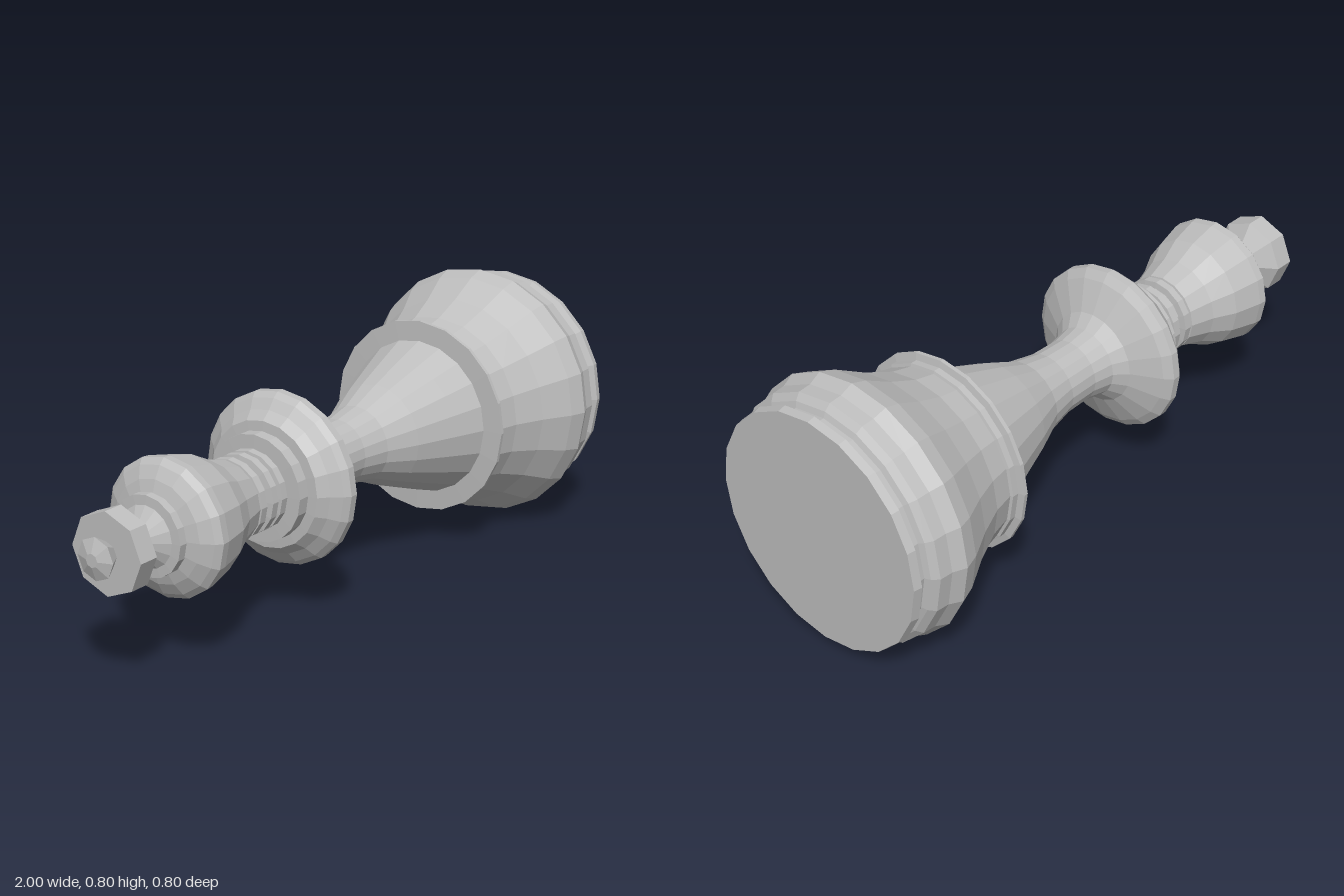
import * as THREE from 'three';

const grey = new THREE.MeshStandardMaterial({ color: 0xbebebe, flatShading: true });
grey.name = 'grey stone';

// Turned part from [x, radius] pairs, listed from the foot (+x) to the tip (-x).
function turned(name, sides, profile) {
  const points = profile.map(([x, r]) => new THREE.Vector2(r, -x));
  const mesh = new THREE.Mesh(new THREE.LatheGeometry(points, sides), grey);
  mesh.name = name;
  return mesh;
}

export function createModel() {
  const piece = new THREE.Group();
  piece.name = 'lyingChessKing';

  // Foot with its closed underside and stepped rim
  piece.add(turned('foot', 20, [
    [1, 0], [1, 0.362], [0.975, 0.367], [0.962, 0.345], [0.945, 0.345],
    [0.938, 0.362], [0.92, 0.38], [0.88, 0.383], [0.84, 0.4], [0.79, 0.383],
    [0.7, 0.332], [0.61, 0.292], [0.535, 0.275],
  ]));

  // Thin collar above the foot
  piece.add(turned('footCollar', 20, [
    [0.545, 0.27], [0.54, 0.285], [0.52, 0.285], [0.515, 0.305], [0.503, 0.305], [0.5, 0.24],
  ]));

  // Tapering stem
  piece.add(turned('stem', 20, [
    [0.52, 0.25], [0.4, 0.207], [0.27, 0.16], [0.17, 0.118], [0.08, 0.1],
    [-0.02, 0.098], [-0.085, 0.11],
  ]));

  // Wide flange with a smaller disc on top
  piece.add(turned('flange', 20, [
    [-0.085, 0.11], [-0.12, 0.145], [-0.165, 0.235], [-0.185, 0.26], [-0.21, 0.26],
    [-0.228, 0.245], [-0.25, 0.215], [-0.278, 0.19], [-0.28, 0.16], [-0.318, 0.16], [-0.32, 0.09],
  ]));

  // Neck core and its narrow rings
  piece.add(turned('neck', 16, [[-0.3, 0.1], [-0.46, 0.1]]));
  for (const x of [-0.335, -0.375, -0.425]) {
    piece.add(turned('neckRing', 16, [
      [x + 0.016, 0.095], [x + 0.012, 0.12], [x - 0.012, 0.12], [x - 0.016, 0.095],
    ]));
  }

  // Crown, flaring out and stepping back in
  piece.add(turned('crown', 16, [
    [-0.44, 0.1], [-0.445, 0.12], [-0.52, 0.143], [-0.59, 0.178], [-0.68, 0.2],
    [-0.705, 0.202], [-0.722, 0.185], [-0.742, 0.15], [-0.757, 0.1], [-0.758, 0.118],
    [-0.783, 0.118], [-0.785, 0.09], [-0.826, 0.03],
  ]));

  // Eight-sided finial and its small tip
  piece.add(turned('finial', 8, [
    [-0.82, 0.03], [-0.88, 0.12], [-0.943, 0.12], [-0.943, 0],
  ]));
  piece.add(turned('finialTip', 8, [
    [-0.94, 0.035], [-0.985, 0.062], [-1, 0.02], [-1, 0],
  ]));

  // Lay the piece on its side, foot towards +x
  piece.rotation.z = Math.PI / 2;
  piece.position.y = 0.4;
  const model = new THREE.Group();
  model.name = 'model';
  model.add(piece);
  return model;
}
